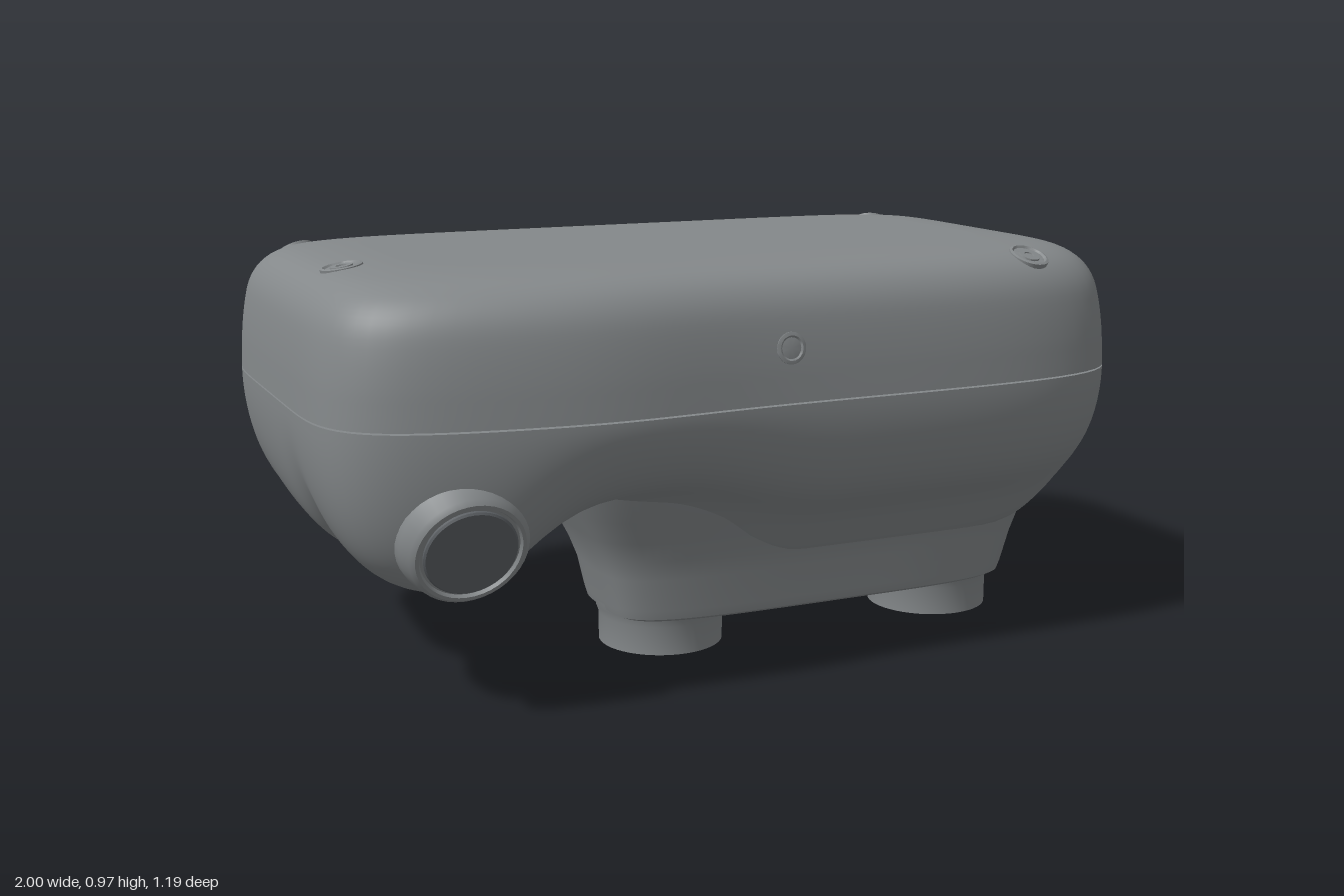
import * as THREE from 'three';
import { RoundedBoxGeometry } from 'three/addons/geometries/RoundedBoxGeometry.js';
import { toCreasedNormals } from 'three/addons/utils/BufferGeometryUtils.js';

const body = new THREE.MeshStandardMaterial({ color: 0x84888a });
const dark = new THREE.MeshStandardMaterial({ color: 0x5c6064 });
const { smoothstep } = THREE.MathUtils;
const SIDES = 160;

// Rounded outline: polar superellipse, unit half-width
function outline(angle, n) {
  const c = Math.cos(angle), s = Math.sin(angle);
  const k = Math.pow(Math.abs(c) ** n + Math.abs(s) ** n, -1 / n);
  return [c * k, s * k];
}

// Skin from closed rings, ordered bottom to top; point(i, angle) gives [x, y, z]
function loft(count, point) {
  const pos = [], index = [];
  for (let i = 0; i < count; i++) {
    for (let j = 0; j < SIDES; j++) {
      pos.push(...point(i, j / SIDES * Math.PI * 2));
      if (i === count - 1) continue;
      const a = i * SIDES + j, b = i * SIDES + (j + 1) % SIDES;
      index.push(a, a + SIDES, b, b, a + SIDES, b + SIDES);
    }
  }
  const g = new THREE.BufferGeometry();
  g.setAttribute('position', new THREE.Float32BufferAttribute(pos, 3));
  g.setIndex(index);
  g.computeVertexNormals();
  return g;
}

// Footprint of the case; rounder at the front, whose wall swells slightly on one side
function footprint(angle, inset, scale = 1) {
  const [u, v] = outline(angle, 6.2 - 0.8 * Math.sin(angle));
  const x = u * (1 - inset) * scale;
  let z = v * (0.582 - inset) * scale - 0.016;
  if (v > 0) z += 0.025 * v * scale * Math.exp(-(((x + 0.4) / 0.28) ** 2));
  return [x, z];
}

// Depth of the underside below the seam
function depth(x, z, r) {
  const base = 0.22 + 0.08 * smoothstep(x, -0.25, 0.2);
  const haunch = 0.06 * smoothstep(x, 0.35, 0.8) * smoothstep(-z, 0, 0.2);
  const notch = 0.07 * Math.exp(-(((z - 0.13) / 0.08) ** 2));
  const lobe = (0.2 - notch) * Math.exp(-(((x + 0.7) / (x < -0.7 ? 0.6 : 0.19)) ** 2));
  const dx = Math.max(-0.2 - x, (x - 0.8) * 0.35, 0), dz = Math.max(-0.08 - z, z - 0.25, 0);
  const flare = (0.06 + 0.09 * smoothstep(x, -0.3, 0.2)) * Math.exp(-(dx * dx + dz * dz) / 0.0144);
  const ends = Math.sqrt(Math.max(0, 1 - Math.abs(z / 0.625) ** (z > 0 ? 5 : 2.8)));
  const rim = Math.sqrt(Math.max(0, 1 - r ** (10 + 5 * smoothstep(Math.abs(z), 0.25, 0.5))));
  return (base + haunch + lobe + flare) * ends * rim;
}

export function createModel() {
  const group = new THREE.Group();
  const add = (name, geometry, x = 0, y = 0, z = 0, parent = group, material = body) => {
    const mesh = new THREE.Mesh(geometry, material);
    mesh.name = name;
    mesh.position.set(x, y, z);
    parent.add(mesh);
    return mesh;
  };
  const lathe = (pts, sides = 40) =>
    toCreasedNormals(new THREE.LatheGeometry(pts.map(p => new THREE.Vector2(...p)), sides), 0.6);

  // Seats a part flush on a shell, its local y along the surface normal
  const seatOn = (shell, part, from, direction) => {
    const ray = new THREE.Raycaster(new THREE.Vector3(...from), new THREE.Vector3(...direction));
    const hit = ray.intersectObject(shell)[0];
    part.position.copy(hit.point);
    part.quaternion.setFromUnitVectors(new THREE.Vector3(0, 1, 0), hit.face.normal);
  };

  // Upper shell: soft shoulder, then a flat lid
  const shoulder = [[0, 0.668], [0.002, 0.71], [0.005, 0.76], [0.012, 0.82], [0.023, 0.872],
    [0.042, 0.91], [0.07, 0.938], [0.11, 0.957], [0.165, 0.967], [0.22, 0.972], [0.27, 0.974]];
  const curve = new THREE.SplineCurve(shoulder.map(p => new THREE.Vector2(...p)));
  const lidRings = 30;
  const upper = add('upperShell', loft(lidRings + 2, (i, a) => {
    const p = curve.getPoint(Math.min(i / lidRings, 1));
    const [x, z] = footprint(a, p.x, i > lidRings ? 0 : 1);
    return [x, p.y, z];
  }));

  // Lower shell: underside with a notched grip lobe and a flare towards the stem
  const rings = 64;
  const lower = add('lowerShell', loft(rings + 1, (i, a) => {
    const r = Math.sin(i / rings * Math.PI / 2);
    const [x, z] = footprint(a, 0, r);
    return [x, 0.664 - depth(x, z, r), z];
  }));

  // Flat lips facing each other across the seam
  for (const [name, y, from, to] of [['upperLip', 0.668, 0.08, 0], ['lowerLip', 0.664, 0, 0.08]]) {
    add(name, loft(2, (i, a) => {
      const [x, z] = footprint(a, i ? to : from);
      return [x, y, z];
    }));
  }

  // Stem: rounded foot block, [y, xMin, xMax, zMin, zMax]
  const stem = [[0.09, 0.3, 0.3, 0.085, 0.085], [0.09, -0.23, 0.825, -0.095, 0.265],
    [0.097, -0.245, 0.84, -0.11, 0.275], [0.12, -0.252, 0.848, -0.115, 0.28],
    [0.2, -0.27, 0.87, -0.125, 0.29], [0.25, -0.288, 0.887, -0.142, 0.302],
    [0.3, -0.312, 0.905, -0.165, 0.32], [0.36, -0.345, 0.92, -0.2, 0.35],
    [0.44, -0.385, 0.93, -0.24, 0.38]];
  add('stem', toCreasedNormals(loft(stem.length, (i, a) => {
    const [y, x0, x1, z0, z1] = stem[i], [u, v] = outline(a, 4.5);
    return [(x0 + x1) / 2 + u * (x1 - x0) / 2, y, (z0 + z1) / 2 + v * (z1 - z0) / 2];
  }), 0.7));

  // Hollow feet
  const foot = lathe([[0, 0.08], [0.065, 0.08], [0.065, 0], [0.153, 0], [0.153, 0.07], [0.16, 0.09], [0.165, 0.11]], 48);
  for (const x of [-0.087, 0.682]) add('foot', foot, x, 0, 0.088);

  // Round end of the grip lobe with an inset button, tilted slightly down
  const gripEnd = new THREE.Group();
  gripEnd.name = 'gripEnd';
  gripEnd.position.set(-0.713, 0.402, 0.53);
  gripEnd.rotation.x = Math.PI / 2 + 0.36;
  group.add(gripEnd);
  add('gripEndCollar', lathe([[0.15, -0.26], [0.158, -0.16], [0.154, -0.1], [0.144, -0.045], [0.132, -0.008],
    [0.122, 0.002], [0.114, 0.002], [0.11, -0.006], [0, -0.006]]), 0, 0, 0, gripEnd);
  add('button', lathe([[0.104, -0.02], [0.104, 0], [0.1, 0.004], [0, 0.004]]), 0, 0, 0, gripEnd, dark);

  // Screws in ringed seats around the lid
  const screw = lathe([[0.048, -0.025], [0.048, 0.002], [0.042, 0.004], [0.038, -0.001], [0.026, -0.001],
    [0.025, 0.003], [0.012, 0.003], [0.011, -0.001], [0, -0.001]], 28);
  for (const [x, z] of [[-0.83, -0.49], [0.82, -0.49], [-0.86, 0.11], [0.71, 0.455]]) {
    seatOn(upper, add('screw', screw), [x, 2, z], [0, -1, 0]);
  }

  // Small indicator port on the front
  const port = add('frontPort', lathe([[0.036, -0.03], [0.036, 0.002], [0.028, 0.004], [0.024, 0.001], [0, 0.001]], 24));
  seatOn(upper, port, [0.02, 0.79, 2], [0, 0, -1]);

  // Flat round pads on the back wall
  for (const x of [-0.7, 0.7]) {
    add('backPad', new THREE.CylinderGeometry(0.055, 0.055, 0.03, 32), x, 0.82, -0.576).rotation.x = Math.PI / 2;
  }

  // Framed socket set into the underside at the back
  const socket = new THREE.Group();
  socket.name = 'socket';
  group.add(socket);
  seatOn(lower, socket, [0.32, 0.47, -2], [0, 0, 1]);
  for (const s of [-1, 1]) {
    add('socketSide', new RoundedBoxGeometry(0.014, 0.03, 0.1, 2, 0.005), s * 0.07, -0.01, 0, socket);
    add('socketEdge', new RoundedBoxGeometry(0.15, 0.03, 0.014, 2, 0.005), 0, -0.01, s * 0.045, socket);
  }
  add('socketTongue', new RoundedBoxGeometry(0.09, 0.03, 0.03, 2, 0.008), 0, -0.008, 0, socket, dark);
  return group;
}
